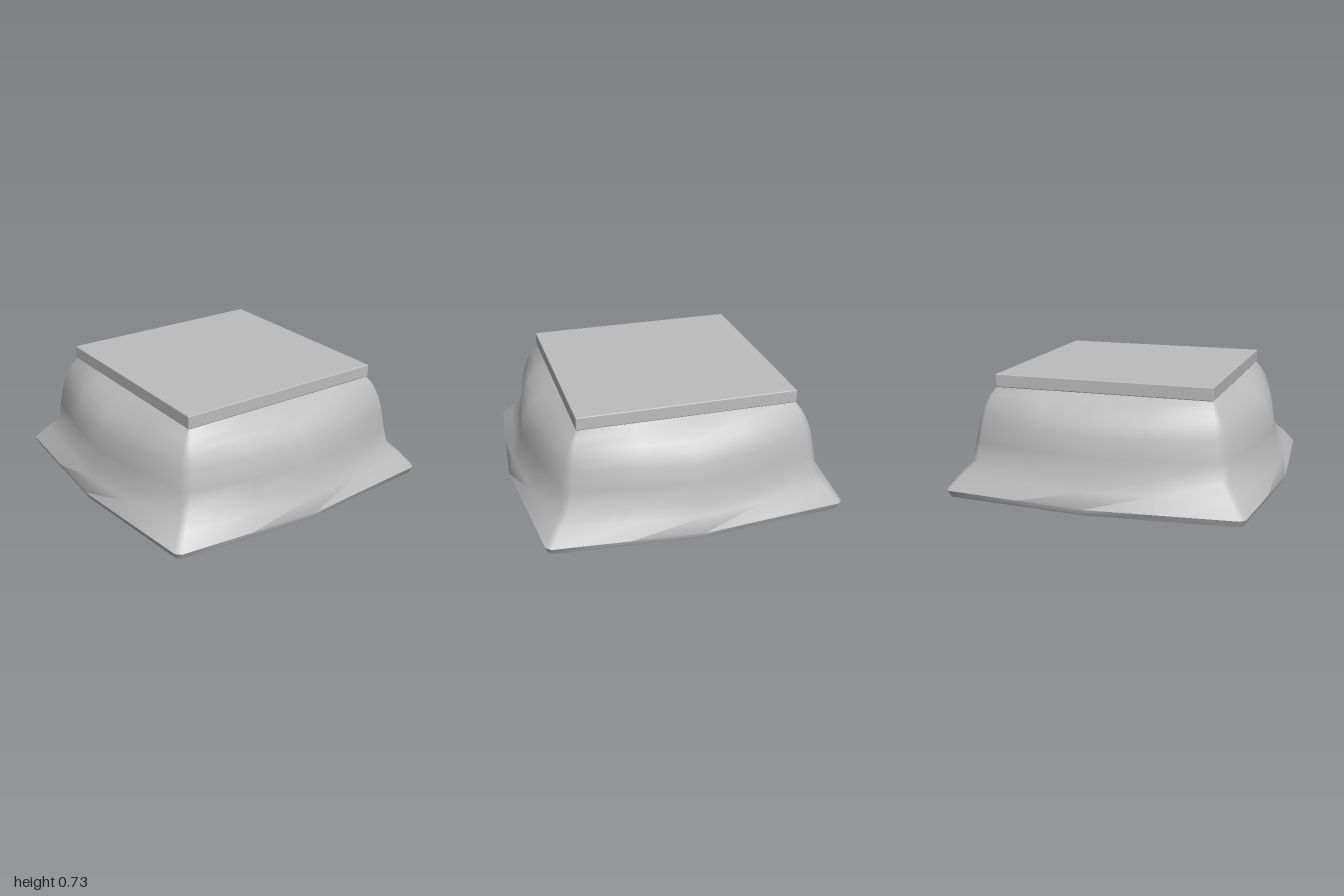
import * as THREE from 'three';
import { toCreasedNormals } from 'three/addons/utils/BufferGeometryUtils.js';
import { RoundedBoxGeometry } from 'three/addons/geometries/RoundedBoxGeometry.js';

// One closed ring: a square with bowed sides and chamfered corners.
// mid = half width at the side centre, corner = half width at the corners.
function ring({ y, mid, corner, cut, bulge }) {
  const end = corner - cut, h = end * 0.48;
  const q = mid + (corner - mid) * 0.48 + bulge;
  const side = [[corner, -end], [q, -h], [mid, 0], [q, h], [corner, end]];
  const points = [];
  for (let s = 0; s < 4; s++) {
    for (const p of side) {
      let [x, z] = p;
      for (let k = 0; k < s; k++) [x, z] = [-z, x];
      points.push([x, y, z]);
    }
  }
  return points;
}

// Joins consecutive rings into a smooth skin
function loft(rings) {
  const n = rings[0].length, index = [];
  for (let r = 0; r < rings.length - 1; r++) {
    for (let i = 0; i < n; i++) {
      const j = (i + 1) % n;
      const a = r * n + i, b = r * n + j, c = a + n, d = b + n;
      index.push(a, c, b, b, c, d);
    }
  }
  const g = new THREE.BufferGeometry();
  g.setAttribute('position', new THREE.Float32BufferAttribute(rings.flat(2), 3));
  g.setIndex(index);
  return toCreasedNormals(g, 0.9);
}

export function createModel() {
  const group = new THREE.Group();
  const grey = new THREE.MeshStandardMaterial({ color: 0xbcbcbc });
  grey.name = 'light grey';

  // Flared hollow skirt: y, mid, corner, corner cut, extra bow
  const outer = [
    [0.04, 1.0, 0.92, 0.03, 0],
    [0.13, 0.963, 0.852, 0.03, 0],
    [0.2, 0.932, 0.795, 0.035, 0.008],
    [0.32, 0.908, 0.782, 0.045, 0.012],
    [0.44, 0.885, 0.765, 0.045, 0.015],
    [0.5, 0.85, 0.75, 0.04, 0.012],
    [0.55, 0.81, 0.73, 0.03, 0.01],
    [0.6, 0.745, 0.705, 0.02, 0.005],
    [0.645, 0.672, 0.672, 0.01, 0],
  ].map(([y, mid, corner, cut, bulge]) => ({ y, mid, corner, cut, bulge }));

  // Inner wall follows the outer wall at a constant thickness
  const wall = 0.03;
  const inner = outer.map((l, i) => ({
    ...l,
    y: i === outer.length - 1 ? l.y : l.y - wall * i / (outer.length - 1),
    mid: l.mid - wall,
    corner: l.corner - wall,
  })).reverse();
  const lip = [
    { y: 0, mid: 0.965, corner: 0.885, cut: 0.03, bulge: 0 },
    { y: 0, mid: 0.98, corner: 0.905, cut: 0.03, bulge: 0 },
  ];
  const skirt = new THREE.Mesh(loft([...inner, ...lip, ...outer].map(ring)), grey);
  skirt.name = 'flaredSkirt';
  group.add(skirt);

  // Square slab closing the top
  const slab = new THREE.Mesh(new RoundedBoxGeometry(1.35, 0.08, 1.35, 2, 0.006), grey);
  slab.name = 'topSlab';
  slab.position.y = 0.685;
  group.add(slab);

  return group;
}
